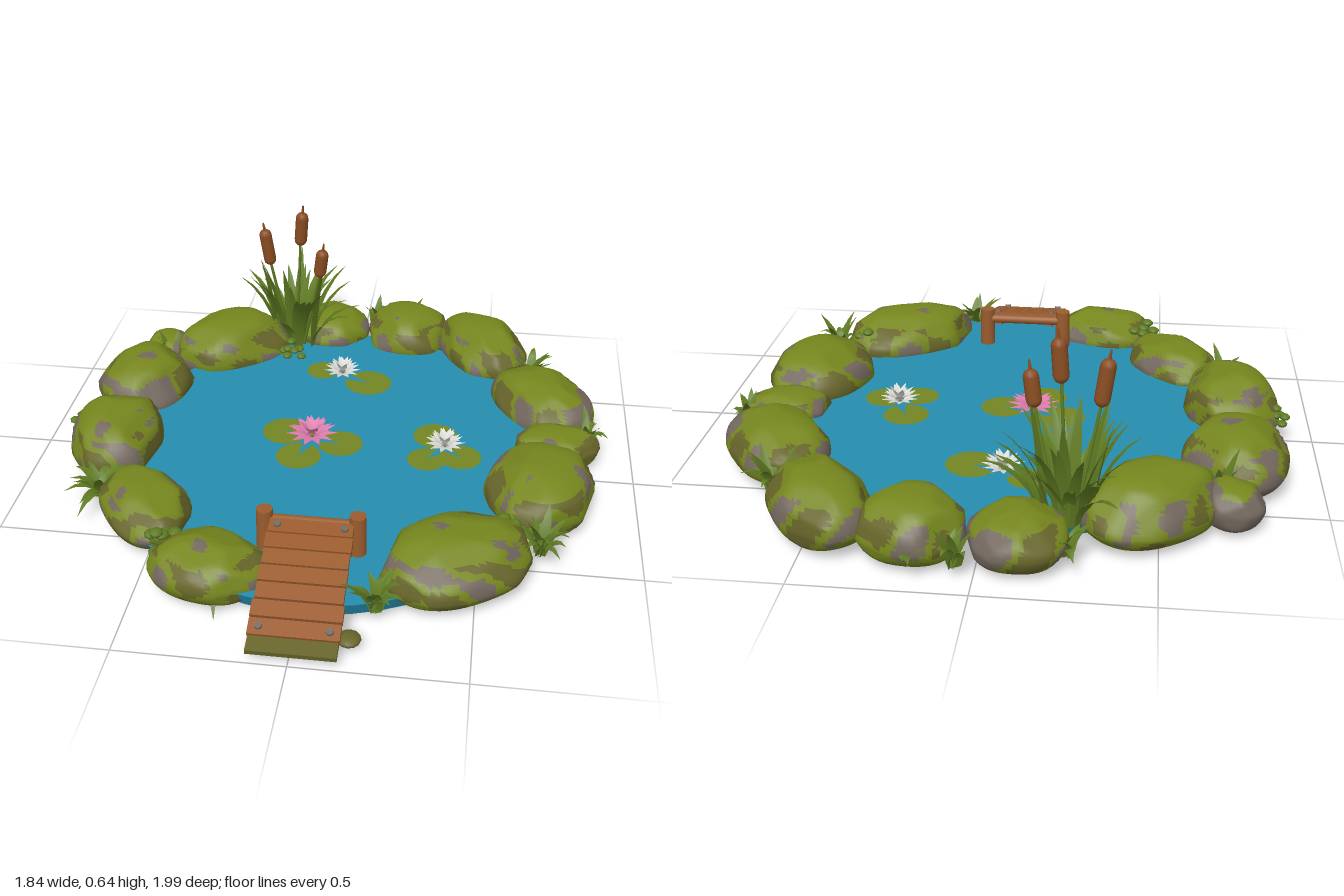
import * as THREE from 'three';
import { mergeVertices, mergeGeometries } from 'three/addons/utils/BufferGeometryUtils.js';

const mat = (name, color, side = THREE.FrontSide) => {
  const m = new THREE.MeshStandardMaterial({ color, side });
  m.name = name;
  return m;
};
const M = {
  water: mat('water', 0x268cae),
  moss: mat('moss', 0x76861e),
  darkMoss: mat('darkMoss', 0x67652a),
  stone: mat('stone', 0x73685e),
  wood: mat('wood', 0x9a5b2d),
  cattail: mat('cattailBrown', 0x8a4d22),
  leaf: mat('leaf', 0x5f7b22, THREE.DoubleSide),
  pad: mat('lilyPad', 0x748524, THREE.DoubleSide),
  pink: mat('pinkPetal', 0xe07fb0, THREE.DoubleSide),
  white: mat('whitePetal', 0xdedeDa, THREE.DoubleSide),
};
const WATER_Y = 0.07;

let seed = 7;
const rnd = (a = 0, b = 1) => {
  seed = (seed * 16807) % 2147483647;
  return a + (b - a) * (seed / 2147483647);
};

function add(parent, name, geo, material, x = 0, y = 0, z = 0) {
  const m = new THREE.Mesh(geo, material);
  m.name = name;
  m.position.set(x, y, z);
  parent.add(m);
  return m;
}

// Chiselled boulder with moss patches; l and s are half sizes, deg the heading seen from above
function boulder(x, z, l, s, h, deg, bare, k) {
  let g = new THREE.SphereGeometry(1, 52, 26);
  g.deleteAttribute('uv');
  g.deleteAttribute('normal');
  g = mergeVertices(g, 1e-4);
  const p = g.attributes.position, mid = 0.075, v = new THREE.Vector3();
  // random planes that cut flat facets
  const cuts = Array.from({ length: 18 }, () => ({
    n: new THREE.Vector3(rnd(-1, 1), rnd(0, 0.9), rnd(-1, 1)).normalize(), d: rnd(0.93, 1.03) }));
  for (let i = 0; i < p.count; i++) {
    const a = Math.atan2(p.getZ(i), p.getX(i)), y = p.getY(i);
    const c = Math.abs(Math.cos(a)), n = Math.abs(Math.sin(a));
    const r = Math.pow(Math.hypot(p.getX(i), p.getZ(i)), 0.78) * Math.pow(c ** 2.4 + n ** 2.4, -1 / 2.4) * 1.02;
    v.set(Math.cos(a) * r, Math.max(0, y) ** 0.95, Math.sin(a) * r);
    const cut = cuts.reduce((q, e) => Math.min(q, e.d / Math.max(0.01, v.dot(e.n))), 1);
    v.multiplyScalar(cut);
    const under = Math.min(1, Math.max(0, -y) * 1.6), shrink = 1 - 0.08 * under;
    p.setXYZ(i, v.x * l * shrink, mid + (h - mid) * v.y * 1.03 - 0.055 * under, v.z * s * shrink);
  }
  g.computeVertexNormals();
  // sort the faces by patch colour
  const idx = g.index.array, lists = [[], [], []];
  for (let i = 0; i < idx.length; i += 3) {
    const t = [idx[i], idx[i + 1], idx[i + 2]];
    const [cx, cy, cz] = ['getX', 'getY', 'getZ'].map(f => (p[f](t[0]) + p[f](t[1]) + p[f](t[2])) / 3);
    const n = Math.sin(27 * cx + k * 3) * Math.sin(25 * cz + k * 1.3) + 0.6 * Math.sin(40 * cy + 23 * cx - 17 * cz + k);
    const high = (cy - mid) / (h - mid);
    let c = 1;
    if (high > 0.68) c = n > 1.3 - bare ? 2 : 0;
    else if (high > -0.9) c = n > 0.52 - bare ? 2 : n < -0.3 ? 1 : 0;
    lists[c].push(...t);
  }
  g.setIndex(lists.flat());
  let start = 0;
  lists.forEach((q, i) => { g.addGroup(start, q.length, i); start += q.length; });
  const m = new THREE.Mesh(g, [M.moss, M.darkMoss, M.stone]);
  m.name = 'boulder';
  m.position.set(x, 0, z);
  m.rotation.y = -deg * Math.PI / 180;
  return m;
}

// Folded, tapering blade that leaves the base at angle dir, rises and droops outward
function blade(x, y, z, dir, reach, rise, width, droop = 0) {
  const pos = [], index = [], n = 5, dx = Math.cos(dir), dz = Math.sin(dir);
  for (let i = 0; i <= n; i++) {
    const t = i / n, out = reach * Math.pow(t, 1.6);
    const w = width * 0.5 * Math.min(1, 0.6 + t * 1.6) * (1 - t ** 2.5) + 0.0005;
    const py = Math.max(0, y + rise * t - droop * t ** 3), px = x + dx * out, pz = z + dz * out;
    pos.push(px - dz * w, py + w * 0.2, pz + dx * w, px, py, pz, px + dz * w, py + w * 0.2, pz - dx * w);
    if (i < n) for (const o of [i * 3, i * 3 + 1]) index.push(o, o + 1, o + 3, o + 1, o + 4, o + 3);
  }
  // wind the faces so that the upper side is the front
  for (let i = 0; i < index.length; i += 3) [index[i + 1], index[i + 2]] = [index[i + 2], index[i + 1]];
  const g = new THREE.BufferGeometry();
  g.setAttribute('position', new THREE.Float32BufferAttribute(pos, 3));
  g.setIndex(index);
  g.computeVertexNormals();
  return g;
}

function tuft(x, z, size, rise, count) {
  const list = [];
  for (let i = 0; i < count; i++) {
    const f = rnd(0.55, 1);
    list.push(blade(x + rnd(-0.012, 0.012), 0.035, z + rnd(-0.012, 0.012), i * 2.4 + rnd(-0.3, 0.3),
      size * f, rise * rnd(0.7, 1.1), 0.036, rise * rnd(0, 0.75) * f));
  }
  return mergeGeometries(list);
}

// Low clump of rounded leaves
function clump(x, z, r, y) {
  const list = [];
  for (let i = 0; i < 9; i++) {
    const a = i * 2.4, d = r * Math.sqrt(i / 9);
    list.push(new THREE.SphereGeometry(r * 0.4, 8, 5).scale(1, 0.6, 1)
      .translate(x + Math.cos(a) * d, y + 0.045 * (1 - i / 9) + rnd(-0.015, 0.015), z + Math.sin(a) * d));
  }
  return mergeGeometries(list);
}

function lily(x, z, size, material, pads) {
  const g = new THREE.Group();
  g.name = 'waterLily';
  pads.forEach(([px, pz, r], i) => {
    const notch = Math.atan2(-(z - pz), x - px);
    add(g, 'lilyPad', new THREE.CircleGeometry(r, 28, 0.2, Math.PI * 2 - 0.4).rotateX(-Math.PI / 2).rotateY(notch),
      M.pad, px, WATER_Y + 0.004 + i * 0.001, pz);
  });
  const petals = [];
  [[11, 1, 0.025], [9, 0.78, 0.045], [6, 0.48, 0.06]].forEach(([n, reach, rise], ring) => {
    for (let i = 0; i < n; i++)
      petals.push(blade(x, WATER_Y + 0.01, z, (i + ring * 0.5) / n * Math.PI * 2, size * reach, rise, size * 0.46));
  });
  add(g, 'petals', mergeGeometries(petals), material);
  add(g, 'flowerCentre', new THREE.SphereGeometry(size * 0.15, 10, 6), M.pad, x, WATER_Y + 0.025, z);
  return g;
}

function makeDock() {
  const dock = new THREE.Group();
  dock.name = 'dock';
  const deckY = z => 0.178 - 0.125 * Math.pow((z - 0.56) / 0.4, 1.25);
  const n = 7, z0 = 0.575, step = 0.054;
  for (let i = 0; i < n; i++) {
    const z = z0 + step * (i + 0.5), slope = Math.atan2(deckY(z - 0.027) - deckY(z + 0.027), 0.054);
    const plank = add(dock, 'plank', new THREE.BoxGeometry(0.255 + rnd(-0.008, 0.008), 0.018, 0.051), M.wood, 0.01, deckY(z), z);
    plank.rotation.x = slope;
    if (i === 0 || i === n - 1) for (const x of [-0.1, 0.1])
      add(plank, 'bolt', new THREE.CylinderGeometry(0.011, 0.012, 0.01, 10), M.stone, x, 0.012, 0);
  }
  // support beams under the planks
  for (const x of [-0.085, 0.105]) {
    const beam = add(dock, 'beam', new THREE.BoxGeometry(0.025, 0.022, 0.4), M.cattail, x, 0.092, 0.765);
    beam.rotation.x = Math.atan2(0.125, 0.4);
  }
  const bar = add(dock, 'crossBar', new THREE.CylinderGeometry(0.016, 0.016, 0.26, 10), M.wood, 0.005, 0.168, 0.562);
  bar.rotation.z = Math.PI / 2;
  for (const x of [-0.135, 0.145])
    add(dock, 'post', new THREE.CylinderGeometry(0.025, 0.027, 0.165, 14), M.wood, x, 0.122, 0.565);
  const lip = add(dock, 'mossyStep', new THREE.BoxGeometry(0.255, 0.016, 0.075), M.darkMoss, 0.01, 0.046, 0.962);
  lip.rotation.x = 0.2;
  add(dock, 'stepBase', new THREE.BoxGeometry(0.25, 0.02, 0.05), M.stone, 0.01, 0.03, 0.93);
  return dock;
}

function makeReeds() {
  const reeds = new THREE.Group();
  reeds.name = 'reeds';
  const list = [];
  for (let i = 0; i < 36; i++) {
    const a = i * 2.4, f = rnd(0.3, 1);
    list.push(blade(-0.24 + Math.cos(a) * rnd(0.01, 0.08), 0.06, -0.69 + Math.sin(a) * rnd(0.01, 0.05), a,
      0.18 * f, rnd(0.24, 0.42) * (1.1 - f * 0.2), 0.042, f * 0.08));
  }
  add(reeds, 'reedBlades', mergeGeometries(list), M.leaf);
  // base point, then the bottom and top of each brown head
  for (const [b, lo, hi] of [
    [[-0.26, 0.06, -0.69], [-0.325, 0.41, -0.66], [-0.345, 0.55, -0.652]],
    [[-0.24, 0.06, -0.7], [-0.217, 0.485, -0.68], [-0.207, 0.615, -0.675]],
    [[-0.21, 0.06, -0.68], [-0.14, 0.385, -0.63], [-0.125, 0.495, -0.62]]]) {
    const [p, q, r] = [b, lo, hi].map(v => new THREE.Vector3(...v));
    const rod = (name, from, to, geo, material) => {
      const m = add(reeds, name, geo, material);
      m.position.copy(from).lerp(to, 0.5);
      m.quaternion.setFromUnitVectors(new THREE.Vector3(0, 1, 0), to.clone().sub(from).normalize());
    };
    const len = q.distanceTo(r);
    rod('cattailStem', p, q, new THREE.CylinderGeometry(0.005, 0.007, p.distanceTo(q), 6), M.leaf);
    rod('cattailHead', q, r, new THREE.CapsuleGeometry(0.023, len - 0.044, 4, 12), M.cattail);
    const tip = r.clone().add(r.clone().sub(q).setLength(0.025));
    rod('cattailTip', r, tip, new THREE.CylinderGeometry(0.003, 0.006, 0.03, 6), M.cattail);
  }
  return reeds;
}

export function createModel() {
  const pond = new THREE.Group();
  pond.name = 'pond';

  // body of water, flat on top and closed underneath
  const depth = WATER_Y - 0.018;
  const water = add(pond, 'water', new THREE.CylinderGeometry(1, 0.97, depth, 56), M.water, 0, WATER_Y - depth / 2, 0.025);
  water.scale.set(0.72, 1, 0.8);

  // ring of boulders: x, z, half length, half width, height, heading, bareness
  [[-0.11, -0.81, 0.14, 0.14, 0.16, 0, 0.1], [0.185, -0.795, 0.155, 0.15, 0.185, 5, 0],
    [0.475, -0.7, 0.215, 0.14, 0.19, 60, 0.05], [0.695, -0.35, 0.205, 0.15, 0.175, 58, 0.1],
    [0.74, -0.08, 0.145, 0.1, 0.135, -12, 0], [0.685, 0.195, 0.21, 0.17, 0.19, 105, 0],
    [0.44, 0.58, 0.24, 0.17, 0.19, -33, 0], [-0.285, 0.695, 0.175, 0.135, 0.165, 10, 0],
    [-0.54, 0.43, 0.195, 0.13, 0.16, 55, 0.15], [-0.73, 0.075, 0.205, 0.15, 0.21, 80, 0.15],
    [-0.73, -0.3, 0.185, 0.16, 0.2, 100, 0.25], [-0.475, -0.615, 0.22, 0.16, 0.2, -35, 0.05],
    [-0.705, -0.56, 0.1, 0.09, 0.14, 45, 1.2]]
    .forEach((b, i) => pond.add(boulder(...b, i + 1)));
  const pebble = add(pond, 'pebble', new THREE.SphereGeometry(0.035, 12, 8), M.darkMoss, 0.16, 0.035, 0.905);
  pebble.scale.y = 0.45;

  pond.add(makeDock(), makeReeds());

  // grass tufts and leafy clumps between the boulders: x, z, spread, rise, blades
  [[0.05, -0.92, 0.06, 0.13, 12], [0.18, -0.925, 0.07, 0.12, 13], [0.65, -0.57, 0.1, 0.15, 14],
    [0.845, -0.155, 0.075, 0.12, 12], [0.69, 0.46, 0.1, 0.16, 15], [0.22, 0.78, 0.1, 0.14, 15],
    [-0.71, 0.34, 0.13, 0.13, 18], [-0.68, -0.48, 0.09, 0.16, 14], [-0.43, 0.63, 0.07, 0.1, 9],
    [-0.25, -0.83, 0.08, 0.12, 9]]
    .forEach(t => add(pond, 'grassTuft', tuft(...t), M.leaf));
  [[0.57, 0.46, 0.055, 0.1], [-0.435, 0.63, 0.055, 0.09], [-0.875, 0, 0.045, 0.06], [-0.24, -0.57, 0.045, 0.08]]
    .forEach(c => add(pond, 'leafClump', clump(...c), M.leaf));
  add(pond, 'lowLeaf', blade(-0.25, 0.05, 0.78, 1.4, 0.06, 0.01, 0.025, 0.06), M.leaf);

  pond.add(
    lily(-0.08, -0.02, 0.088, M.pink, [[-0.175, -0.055, 0.08], [-0.11, 0.09, 0.075], [0.02, 0, 0.075]]),
    lily(-0.03, -0.45, 0.068, M.white, [[-0.105, -0.48, 0.06], [0.07, -0.41, 0.083]]),
    lily(0.37, -0.015, 0.068, M.white, [[0.335, -0.09, 0.075], [0.315, 0.055, 0.065], [0.425, 0.03, 0.07]]));
  return pond;
}
